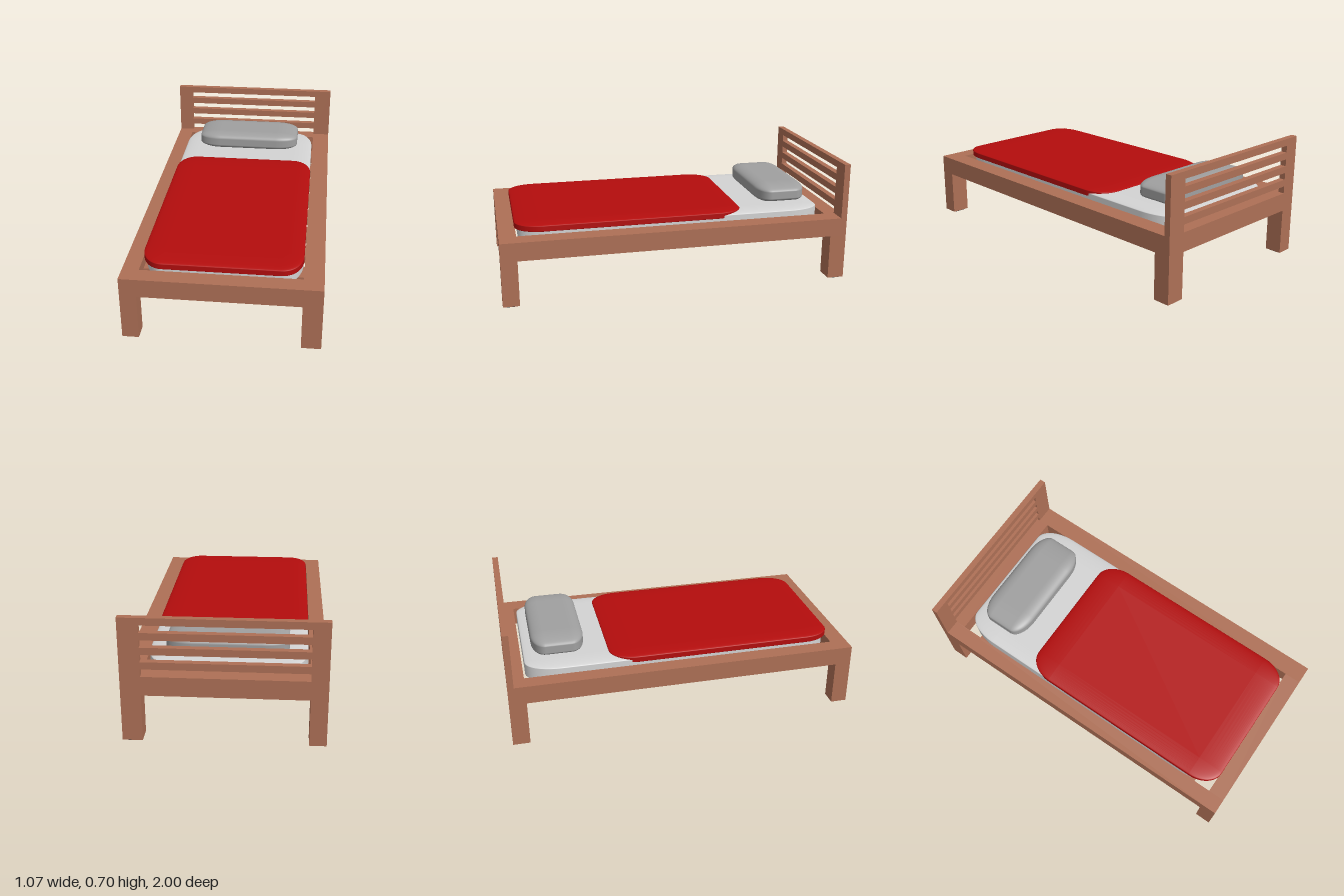
import * as THREE from 'three';
import { RoundedBoxGeometry } from 'three/addons/geometries/RoundedBoxGeometry.js';

const material = (name, color) => {
  const m = new THREE.MeshStandardMaterial({ color });
  m.name = name;
  return m;
};

export function createModel() {
  const wood = material('wood', 0xae7056);
  const red = material('blanketRed', 0xb40d0d);
  const white = material('mattressWhite', 0xd4d4d4);
  const grey = material('pillowGrey', 0xa0a0a0);
  const dark = material('footGrey', 0x707274);

  const bed = new THREE.Group();
  bed.name = 'bed';

  const add = (name, geometry, mat, parent) => {
    const mesh = new THREE.Mesh(geometry, mat);
    mesh.name = name;
    parent.add(mesh);
  };
  const group = (name) => {
    const g = new THREE.Group();
    g.name = name;
    bed.add(g);
    return g;
  };

  // Box given by its limits on each axis
  const box = (name, [x0, x1], [y0, y1], [z0, z1], parent) => {
    const g = new THREE.BoxGeometry(x1 - x0, y1 - y0, z1 - z0);
    g.translate((x0 + x1) / 2, (y0 + y1) / 2, (z0 + z1) / 2);
    add(name, g, wood, parent);
  };

  // Rounded box with a separate corner radius on each axis
  const cushion = (name, [x0, x1], [y0, y1], [z0, z1], [rx, ry, rz], mat, parent) => {
    const g = new RoundedBoxGeometry((x1 - x0) / rx, (y1 - y0) / ry, (z1 - z0) / rz, 6, 1);
    g.scale(rx, ry, rz);
    g.translate((x0 + x1) / 2, (y0 + y1) / 2, (z0 + z1) / 2);
    add(name, g, mat, parent);
  };

  const outer = 0.533, innerL = 0.426, innerR = -0.442, innerZ = 0.903;
  const right = [-outer, innerR], left = [innerL, outer], span = [innerR, innerL];
  const railY = [0.272, 0.378];

  // Bed frame rails
  const frame = group('frame');
  box('rightRail', right, railY, [-1, 1], frame);
  box('leftRail', left, railY, [-1, 1], frame);
  box('footRail', span, railY, [innerZ, 1], frame);
  box('headRail', span, railY, [-1, -innerZ], frame);

  // Legs with small pads underneath
  const legs = group('legs');
  for (const x of [right, left]) {
    for (const z of [[-1, -innerZ], [innerZ + 0.004, 1]]) {
      box('leg', x, [0.01, railY[0]], z, legs);
      cushion('footPad', [x[0] + 0.005, x[1] - 0.005], [0, 0.024],
        [z[0] + 0.004, z[1] - 0.004], [0.025, 0.01, 0.025], dark, legs);
    }
  }

  // Slats across the frame
  const slats = group('slats');
  for (let i = 0; i < 8; i++) {
    const z = -0.8 + i * 0.213;
    box('slat', span, [railY[0], 0.318], [z, z + 0.107], slats);
  }

  // Headboard: two posts and four bars
  const headboard = group('headboard');
  const headZ = [-1, -0.965];
  box('rightPost', right, [railY[1], 0.7], headZ, headboard);
  box('leftPost', left, [railY[1], 0.7], headZ, headboard);
  for (let i = 0; i < 4; i++) {
    const y = 0.42 + i * 0.08;
    box('headboardBar', span, [y, y + 0.04], headZ, headboard);
  }

  // Bedding
  const bedding = group('bedding');
  cushion('mattress', [-0.433, 0.419], [0.318, 0.421], [-0.89, 0.89], [0.11, 0.015, 0.2], white, bedding);
  cushion('blanket', [-0.437, 0.422], [0.38, 0.435], [-0.41, 0.908], [0.115, 0.014, 0.155], red, bedding);
  cushion('pillow', [-0.332, 0.321], [0.42, 0.53], [-0.84, -0.54], [0.14, 0.035, 0.075], grey, bedding);

  return bed;
}
